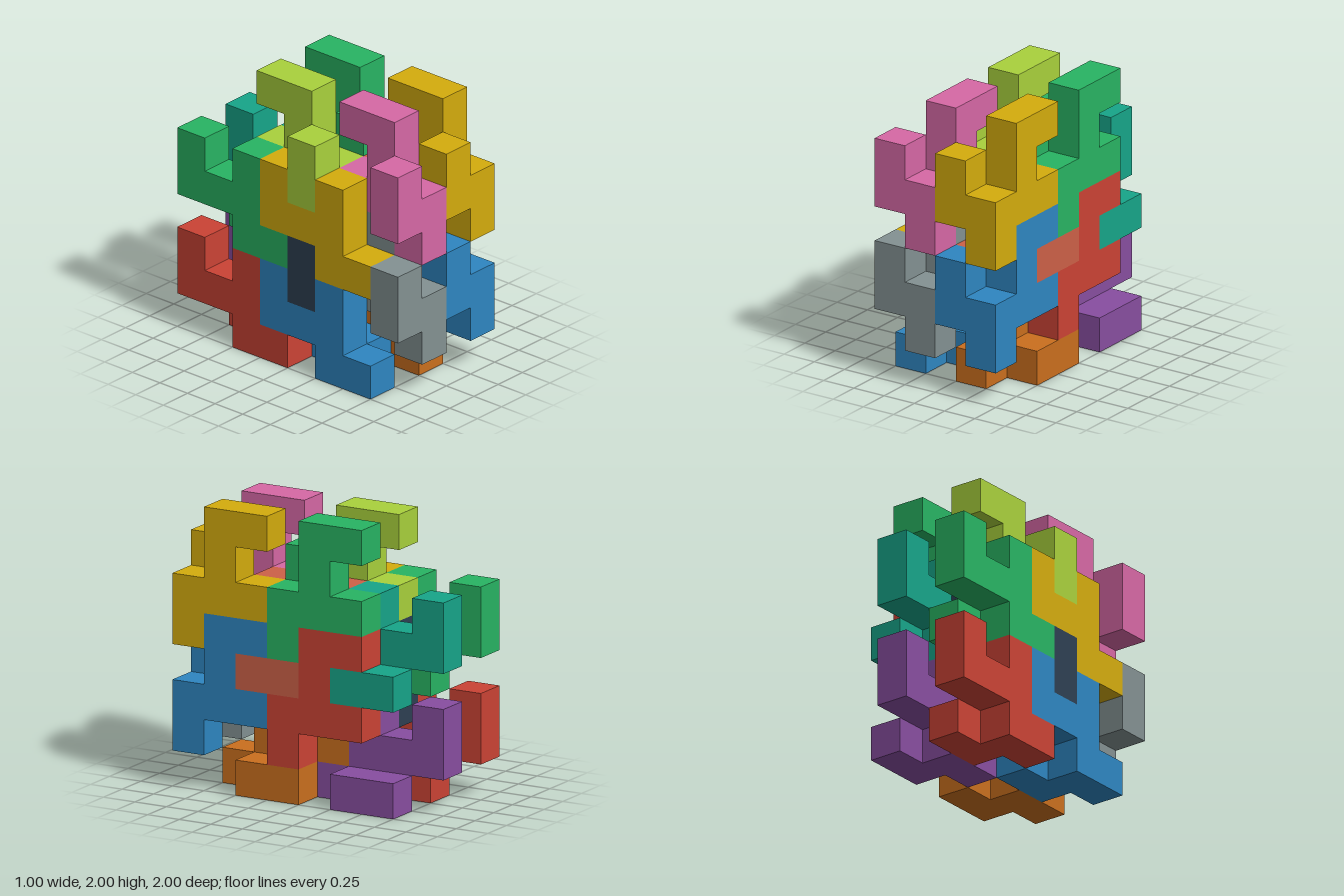
import * as THREE from 'three';
import { mergeGeometries } from 'three/addons/utils/BufferGeometryUtils.js';

const CELL = 0.25;

// Two interlocking nine-cube pieces, as [x, y, z] grid cells of the top front right copy
const HOOK_CELLS = [
  [3, 4, 7], [3, 5, 7], [2, 5, 7], [2, 6, 7], [3, 5, 6],
  [3, 6, 6], [3, 7, 6], [3, 7, 5], [3, 5, 5],
];
const CRADLE_CELLS = [
  [2, 5, 3], [2, 4, 3], [2, 4, 4], [2, 4, 5], [2, 5, 5],
  [2, 3, 5], [2, 3, 6], [3, 3, 5], [3, 3, 4],
];

const C = {
  red: 0xcb4335, blue: 0x2e86c1, green: 0x28b463, gold: 0xd4ac0d,
  purple: 0x884ea0, orange: 0xca6f1e, teal: 0x17a589, pink: 0xd668a5,
  lime: 0xa9d13c, coral: 0xcd6148, grey: 0x839192, dark: 0x2e4053,
};

// Colours in copy order: x step, then y step, then z step
const HOOK_COLORS = [C.gold, C.green, C.blue, C.red, C.pink, C.lime, C.grey, C.dark];
const CRADLE_COLORS = [C.coral, C.teal, C.orange, C.purple, C.gold, C.green, C.blue, C.red];

// Outward directions of a cube's faces, with the turn that points a plane that way
const FACES = [
  [0, 0, 1, 0, 0], [0, 0, -1, 0, Math.PI],
  [1, 0, 0, 0, Math.PI / 2], [-1, 0, 0, 0, -Math.PI / 2],
  [0, 1, 0, -Math.PI / 2, 0], [0, -1, 0, Math.PI / 2, 0],
];

// Outer skin of a group of cells, leaving out the faces between neighbours
function pieceGeometry(cells) {
  const filled = new Set(cells.map((c) => c.join()));
  const sides = [];
  for (const [x, y, z] of cells) {
    for (const [dx, dy, dz, rx, ry] of FACES) {
      if (filled.has([x + dx, y + dy, z + dz].join())) continue;
      const side = new THREE.PlaneGeometry(CELL, CELL);
      side.rotateX(rx).rotateY(ry);
      side.translate(
        (x - 1.5 + dx / 2) * CELL,
        (y + 0.5 + dy / 2) * CELL,
        (z - 3.5 + dz / 2) * CELL,
      );
      sides.push(side);
    }
  }
  return mergeGeometries(sides);
}

// Eight copies of a piece, repeating every 2 cells in x and every 3 in y and z
function addCopies(group, name, cells, colors) {
  const geometry = pieceGeometry(cells);
  colors.forEach((color, i) => {
    const material = new THREE.MeshStandardMaterial({ color });
    const mesh = new THREE.Mesh(geometry, material);
    mesh.name = name + (i + 1);
    mesh.position.set(
      -2 * CELL * (i >> 2),
      -3 * CELL * ((i >> 1) & 1),
      -3 * CELL * (i & 1),
    );
    group.add(mesh);
  });
}

export function createModel() {
  const group = new THREE.Group();
  group.name = 'interlockingBlocks';
  addCopies(group, 'hookPiece', HOOK_CELLS, HOOK_COLORS);
  addCopies(group, 'cradlePiece', CRADLE_CELLS, CRADLE_COLORS);
  return group;
}
